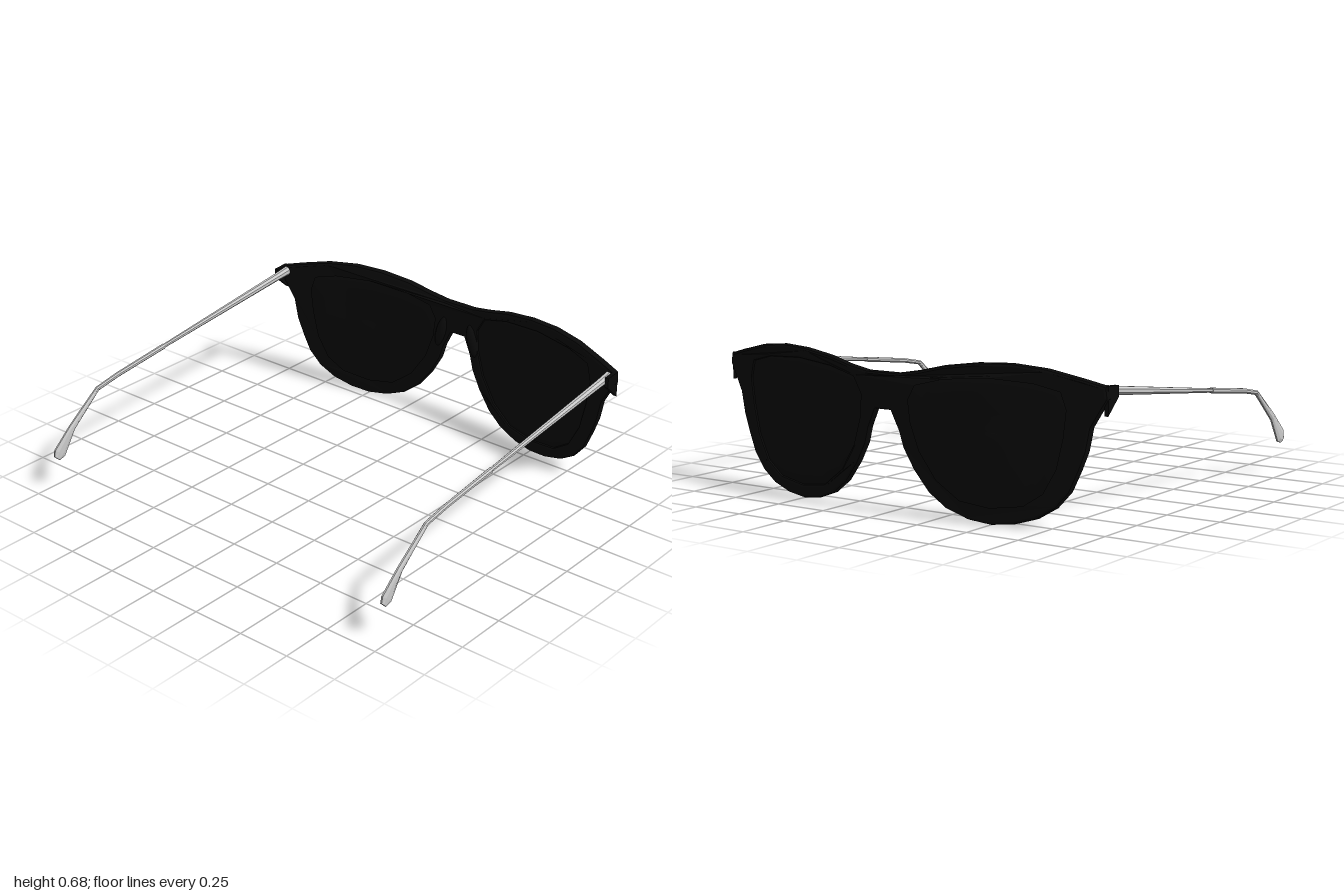
import * as THREE from 'three';

const black = new THREE.MeshStandardMaterial({ color: 0x0a0a0a });
const grey = new THREE.MeshStandardMaterial({ color: 0xcccccc, flatShading: true });

// Half outline of the front, from the top of the bridge clockwise to its underside
const OUTLINE = [
  [0.08, 0.605], [0.18, 0.622], [0.3, 0.65], [0.45, 0.67], [0.6, 0.675], [0.75, 0.66], [0.9, 0.625],
  [0.995, 0.6], [1, 0.55], [0.97, 0.5], [0.93, 0.43], [0.91, 0.33], [0.88, 0.25], [0.84, 0.16],
  [0.78, 0.09], [0.7, 0.04], [0.6, 0.01], [0.5, 0], [0.4, 0.013], [0.3, 0.05], [0.22, 0.11],
  [0.15, 0.2], [0.1, 0.29], [0.08, 0.36], [0.04, 0.445],
];
// Lens opening, counter-clockwise
const LENS = [
  [0.12, 0.5], [0.13, 0.4], [0.17, 0.28], [0.25, 0.16], [0.36, 0.08], [0.5, 0.06], [0.65, 0.08],
  [0.74, 0.14], [0.8, 0.25], [0.83, 0.38], [0.845, 0.5], [0.82, 0.58], [0.7, 0.61], [0.5, 0.622],
  [0.3, 0.605], [0.16, 0.57],
];
const LENS_CENTRE = [0.52, 0.36];

// Wrap of the front around the face
const wrap = (x, y) => -0.893 + 0.17 * Math.abs(x) ** 1.6 + 0.02 * (1 - y / 0.67);

function bend(geometry) {
  const p = geometry.attributes.position;
  for (let i = 0; i < p.count; i++) p.setZ(i, p.getZ(i) + wrap(p.getX(i), p.getY(i)));
  geometry.computeVertexNormals();
  return geometry;
}

// Skin over equal-sized loops of points, closed at both ends
function loft(rings) {
  const n = rings[0].length;
  const pos = rings.flat(2);
  const index = [];
  for (let i = 0; i < rings.length - 1; i++) {
    for (let j = 0; j < n; j++) {
      const k = (j + 1) % n, a = i * n, b = a + n;
      index.push(a + j, a + k, b + k, a + j, b + k, b + j);
    }
  }
  const capEnd = (ring, start, flip) => {
    const c = pos.length / 3;
    for (let d = 0; d < 3; d++) pos.push(ring.reduce((s, q) => s + q[d], 0) / n);
    for (let j = 0; j < n; j++) {
      const k = (j + 1) % n;
      index.push(c, start + (flip ? k : j), start + (flip ? j : k));
    }
  };
  capEnd(rings[0], 0, true);
  capEnd(rings[rings.length - 1], (rings.length - 1) * n, false);
  const g = new THREE.BufferGeometry();
  g.setAttribute('position', new THREE.Float32BufferAttribute(pos, 3));
  g.setIndex(index);
  g.computeVertexNormals();
  return g;
}

function add(parent, name, geometry, material) {
  const mesh = new THREE.Mesh(geometry, material);
  mesh.name = name;
  parent.add(mesh);
  return mesh;
}

function frameGeometry() {
  const vec = ([x, y]) => new THREE.Vector2(x, y);
  const flip = ([x, y]) => [-x, y];
  const shape = new THREE.Shape([...OUTLINE, ...OUTLINE.map(flip).reverse()].map(vec));
  shape.holes.push(new THREE.Path(LENS.map(vec)), new THREE.Path(LENS.map(flip).map(vec)));
  const g = new THREE.ExtrudeGeometry(shape, {
    depth: 0.018, bevelEnabled: true, bevelThickness: 0.012, bevelSize: 0.012, bevelOffset: -0.012, bevelSegments: 2,
  });
  return bend(g.translate(0, 0, -0.009));
}

// Thin lens with a small raised spot in the middle of both faces
function lensGeometry(side) {
  const half = [[0.09, 0.016], [0.12, 0.012], [0.4, 0.012], [0.75, 0.012], [1.02, 0.01]];
  const steps = [...half.map(([s, z]) => [s, -z]), ...half.slice().reverse()];
  const loop = side > 0 ? LENS : LENS.slice().reverse();
  const [cx, cy] = LENS_CENTRE;
  return bend(loft(steps.map(([s, z]) =>
    loop.map(([x, y]) => [side * (cx + (x - cx) * s), cy + (y - cy) * s, z]))));
}

// Arm sections: z, y, half width, half height
const SHAFT = [[-0.705, 0.58, 0.02, 0.024], [-0.62, 0.57, 0.018, 0.02], [0.2, 0.473, 0.01, 0.01]];
const EARPIECE = [
  [0.19, 0.474, 0.013, 0.013], [0.5, 0.436, 0.011, 0.012], [0.63, 0.412, 0.01, 0.012],
  [0.8, 0.277, 0.01, 0.02], [0.885, 0.178, 0.01, 0.04], [0.905, 0.158, 0.009, 0.022],
];

function armGeometry(sections, x0) {
  return loft(sections.map(([z, y, w, h], i) => {
    const a = sections[Math.max(i - 1, 0)], b = sections[Math.min(i + 1, sections.length - 1)];
    const t = new THREE.Vector2(b[0] - a[0], b[1] - a[1]).normalize();
    return Array.from({ length: 8 }, (_, j) => {
      const q = ((j + 0.5) / 8) * Math.PI * 2;
      const u = Math.sin(q) * h;
      return [x0 + Math.cos(q) * w, y + u * t.x, z - u * t.y];
    });
  }));
}

// Hinge lug: side profile (z, y) given thickness across x
function hingeGeometry() {
  const profile = [[-0.73, 0.603], [-0.65, 0.598], [-0.65, 0.55], [-0.685, 0.52], [-0.73, 0.48]];
  const shape = new THREE.Shape(profile.map(([z, y]) => new THREE.Vector2(-z, y)));
  return new THREE.ExtrudeGeometry(shape, { depth: 0.018, bevelEnabled: false })
    .rotateY(Math.PI / 2).translate(-0.009, 0, 0);
}

export function createModel() {
  const model = new THREE.Group();
  model.name = 'sunglasses';
  add(model, 'frame', frameGeometry(), black);

  for (const side of [1, -1]) {
    const label = side > 0 ? 'left' : 'right';
    add(model, label + 'Lens', lensGeometry(side), black);
    add(model, label + 'Hinge', hingeGeometry(), black).position.x = side * 0.989;

    // Nose pad behind the bridge
    const pad = add(model, label + 'NosePad', new THREE.SphereGeometry(1, 12, 8), black);
    pad.scale.set(0.027, 0.085, 0.03);
    pad.position.set(side * 0.095, 0.44, -0.865);
    pad.rotation.z = side * 0.25;

    const arm = new THREE.Group();
    arm.name = label + 'Arm';
    add(arm, 'shaft', armGeometry(SHAFT, side * 0.964), grey);
    add(arm, 'earpiece', armGeometry(EARPIECE, side * 0.964), grey);
    model.add(arm);
  }
  return model;
}
